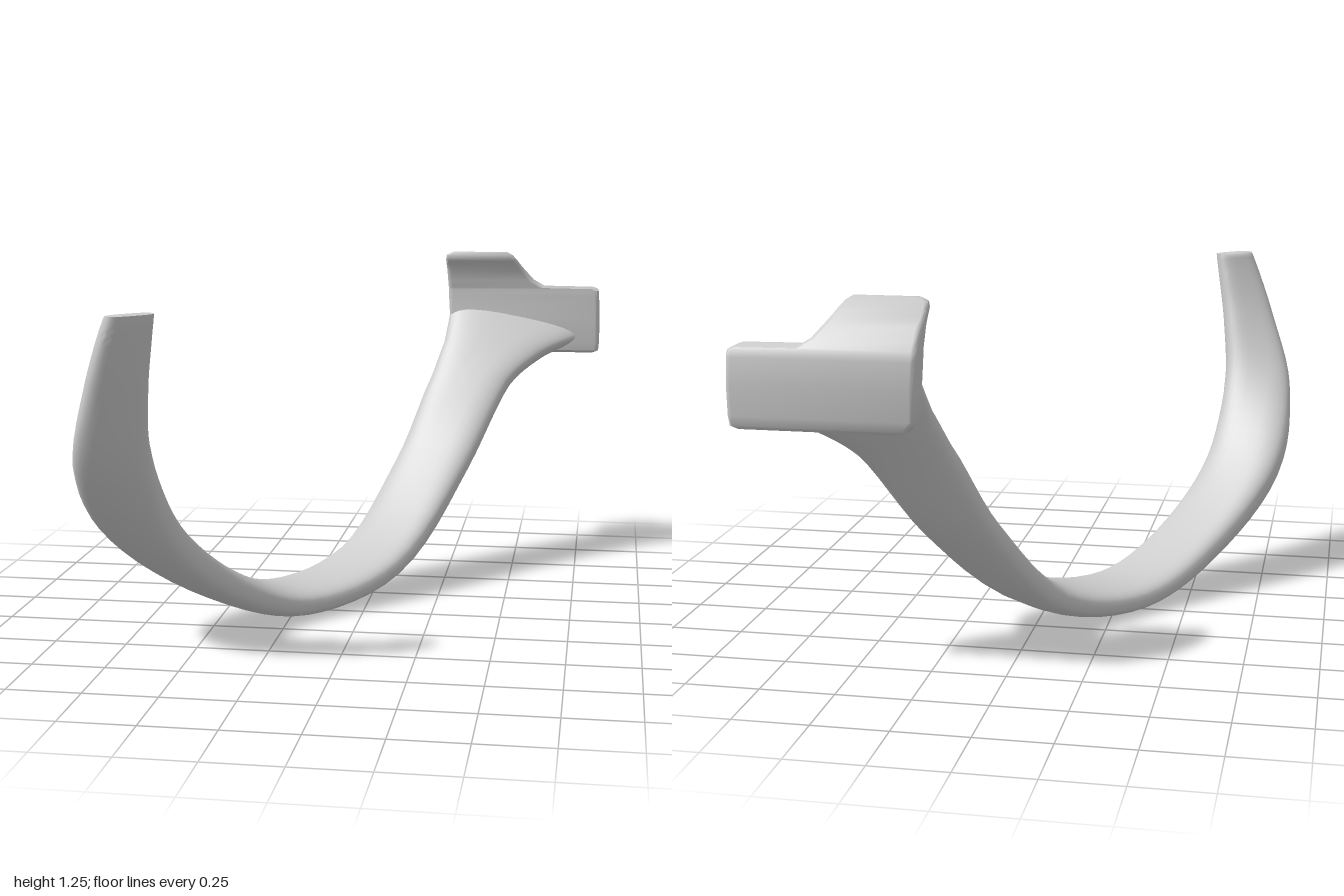
import * as THREE from 'three';
import { toCreasedNormals } from 'three/addons/utils/BufferGeometryUtils.js';

const V = (x, y, z) => new THREE.Vector3(x, y, z);

// Skin a list of equal-length rings (counter-clockwise about the travel direction), with end caps.
function loft(rings, crease) {
  const n = rings[0].length, pos = [], idx = [];
  rings.forEach(r => r.forEach(p => pos.push(p.x, p.y, p.z)));
  for (let i = 0; i < rings.length - 1; i++) {
    for (let j = 0; j < n; j++) {
      const k = (j + 1) % n, a = i * n, b = a + n;
      idx.push(a + j, a + k, b + k, a + j, b + k, b + j);
    }
  }
  [0, rings.length - 1].forEach((i, end) => {
    const c = V(0, 0, 0);
    rings[i].forEach(p => c.addScaledVector(p, 1 / n));
    const ci = pos.length / 3;
    pos.push(c.x, c.y, c.z);
    for (let j = 0; j < n; j++) {
      const a = i * n + j, b = i * n + (j + 1) % n;
      if (end) idx.push(ci, a, b); else idx.push(ci, b, a);
    }
  });
  const g = new THREE.BufferGeometry();
  g.setAttribute('position', new THREE.Float32BufferAttribute(pos, 3));
  g.setIndex(idx);
  return toCreasedNormals(g, crease);
}

// Twisting strap from the tip, through the low point, up to the plate.
function hookArm() {
  // centre x,y,z | width direction x,y,z | half width | half thickness
  const stations = [
    [-0.579, 1.19, 0.936, 0.72, 0, -0.69, 0.08, 0.034],
    [-0.602, 1.11, 0.922, 0.76, 0, -0.63, 0.088, 0.04],
    [-0.645, 0.95, 0.88, 0.88, 0.05, -0.45, 0.1, 0.052],
    [-0.695, 0.70, 0.775, 1, 0.05, -0.08, 0.127, 0.068],
    [-0.66, 0.415, 0.557, 0.92, 0, 0.38, 0.147, 0.068],
    [-0.47, 0.165, 0.285, 0.78, 0, 0.62, 0.147, 0.06],
    [-0.27, 0.055, 0.042, 0.75, 0, 0.66, 0.147, 0.054],
    [-0.01, 0.125, -0.255, 0.8, 0, 0.6, 0.152, 0.055],
    [0.19, 0.44, -0.57, 0.95, 0, 0.25, 0.146, 0.055],
    [0.32, 0.74, -0.76, 1, -0.03, 0.05, 0.158, 0.052],
    [0.405, 0.86, -0.848, 1, -0.12, 0, 0.2, 0.05],
    [0.50, 0.96, -0.93, 1, -0.2, 0, 0.28, 0.045],
  ];
  const curve = f => new THREE.CatmullRomCurve3(stations.map(f));
  const centre = curve(s => V(s[0], s[1], s[2]));
  const width = curve(s => V(s[3], s[4], s[5]));
  const size = curve(s => V(s[6], s[7], 0));
  const rings = [], steps = 66, sides = 32, power = 2 / 2.8;
  const round = c => Math.sign(c) * Math.abs(c) ** power;
  for (let i = 0; i <= steps; i++) {
    const u = i / steps, c = centre.getPoint(u), s = size.getPoint(u);
    const w = width.getPoint(u).normalize();
    const n = centre.getTangent(u).cross(w).normalize();
    rings.push(Array.from({ length: sides }, (_, j) => {
      const a = j / sides * Math.PI * 2;
      const p = c.clone().addScaledVector(w, s.x * round(Math.cos(a)))
        .addScaledVector(n, s.y * round(Math.sin(a)));
      if (i === 0) p.y = c.y; // level end face
      return p;
    }));
  }
  return loft(rings, 0.9);
}

// Upright plate with a side tab and a forward-curling upper lip, stacked in level sections.
function mountingPlate() {
  // y, left x, right x, back z, front z
  const rows = [
    [0.842, 0.29, 0.80, -0.98, -0.915],
    [0.852, 0.25, 0.82, -0.988, -0.90],
    [0.885, 0.225, 0.823, -0.993, -0.895],
    [0.98, 0.222, 0.822, -1, -0.893],
    [1.07, 0.217, 0.818, -1, -0.89],
    [1.092, 0.216, 0.815, -0.994, -0.889],
    [1.1, 0.216, 0.80, -0.99, -0.888],
    [1.102, 0.216, 0.60, -0.989, -0.887],
    [1.13, 0.214, 0.555, -0.972, -0.88],
    [1.17, 0.212, 0.522, -0.94, -0.866],
    [1.195, 0.21, 0.503, -0.914, -0.85],
    [1.21, 0.21, 0.494, -0.897, -0.834],
    [1.218, 0.21, 0.488, -0.888, -0.827],
    [1.235, 0.214, 0.475, -0.862, -0.825],
    [1.247, 0.24, 0.455, -0.842, -0.828],
  ];
  const rings = rows.map(([y, x0, x1, z0, z1]) => {
    const r = Math.min(0.018, (z1 - z0) * 0.4), ring = [];
    const corners = [[x1 - r, z0 + r], [x0 + r, z0 + r], [x0 + r, z1 - r], [x1 - r, z1 - r]];
    corners.forEach(([x, z], q) => {
      for (let k = 0; k <= 4; k++) {
        const a = (q + k / 4) * Math.PI / 2;
        ring.push(V(x + r * Math.cos(a), y, z - r * Math.sin(a)));
      }
    });
    return ring;
  });
  return loft(rings, 0.75);
}

export function createModel() {
  const grey = new THREE.MeshStandardMaterial({ color: 0xcccccc });
  grey.name = 'light grey';
  const group = new THREE.Group();
  group.name = 'hook';
  const add = (name, geometry) => {
    const mesh = new THREE.Mesh(geometry, grey);
    mesh.name = name;
    group.add(mesh);
  };
  add('hookArm', hookArm());
  add('mountingPlate', mountingPlate());
  return group;
}
